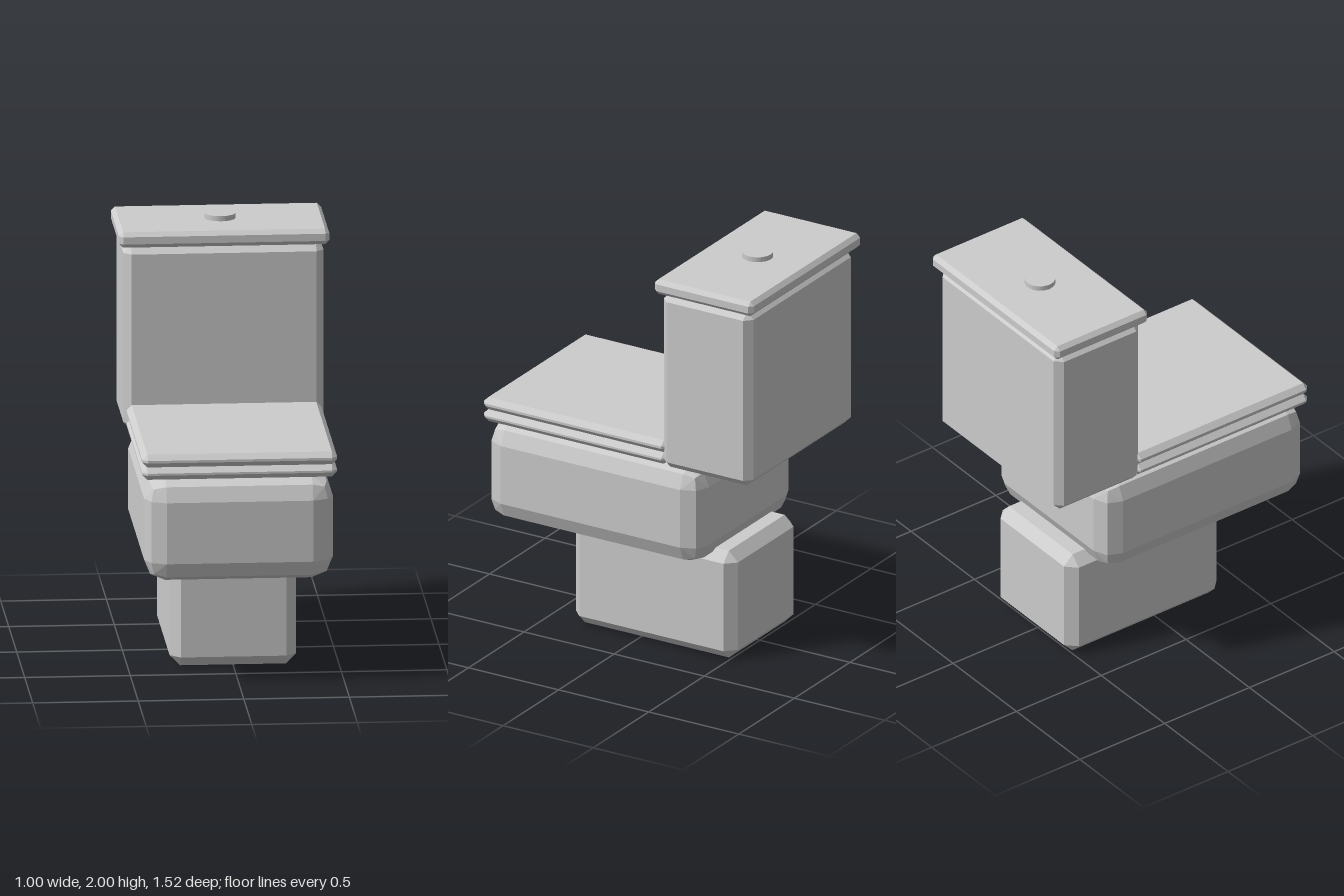
import * as THREE from 'three';
import { ConvexGeometry } from 'three/addons/geometries/ConvexGeometry.js';

const ceramic = new THREE.MeshStandardMaterial({ color: 0xcccccc });
ceramic.name = 'ceramic grey';

// Corner offsets: a single-step chamfer, or a two-step rounded edge
const CHAMFER = [[1, 0, 0], [0, 1, 0], [0, 0, 1]];
const ROUNDED = [...CHAMFER, [1, 1, 0], [1, 0, 1], [0, 1, 1], [1, 1, 1]];

// Box with bevelled edges, given by its extents [min, max] on y and z and half width on x
function bevelBox(name, halfX, [y0, y1], [z0, z1], bevel, corner = CHAMFER) {
  const half = new THREE.Vector3(halfX, (y1 - y0) / 2, (z1 - z0) / 2);
  const core = half.clone().subScalar(bevel);
  const points = [];
  for (const sx of [-1, 1]) for (const sy of [-1, 1]) for (const sz of [-1, 1]) {
    const sign = new THREE.Vector3(sx, sy, sz);
    for (const dir of corner) {
      const p = new THREE.Vector3(...dir).normalize().multiplyScalar(bevel).add(core);
      points.push(p.multiply(sign));
    }
  }
  const mesh = new THREE.Mesh(new ConvexGeometry(points), ceramic);
  mesh.name = name;
  mesh.position.set(0, (y0 + y1) / 2, (z0 + z1) / 2);
  return mesh;
}

export function createModel() {
  const model = new THREE.Group();
  model.name = 'toilet';

  // Pedestal and bowl
  model.add(bevelBox('pedestal', 0.3, [0, 0.55], [-0.533, 0.367], 0.05));
  model.add(bevelBox('bowl', 0.447, [0.503, 1.0], [-0.432, 0.762], 0.1, ROUNDED));

  // Seat ring and closed lid
  model.add(bevelBox('seat', 0.462, [1.01, 1.07], [-0.262, 0.762], 0.025));
  model.add(bevelBox('seatLid', 0.462, [1.07, 1.132], [-0.262, 0.762], 0.025));

  // Cistern with its cover
  model.add(bevelBox('cistern', 0.474, [1.004, 1.9], [-0.735, -0.238], 0.036));
  model.add(bevelBox('cisternCover', 0.498, [1.9, 1.975], [-0.762, -0.213], 0.02));

  // Flush button
  const button = new THREE.Mesh(
    new THREE.CylinderGeometry(0.074, 0.074, 0.05, 16), ceramic);
  button.name = 'flushButton';
  button.position.set(0, 1.975, -0.487);
  model.add(button);

  return model;
}
